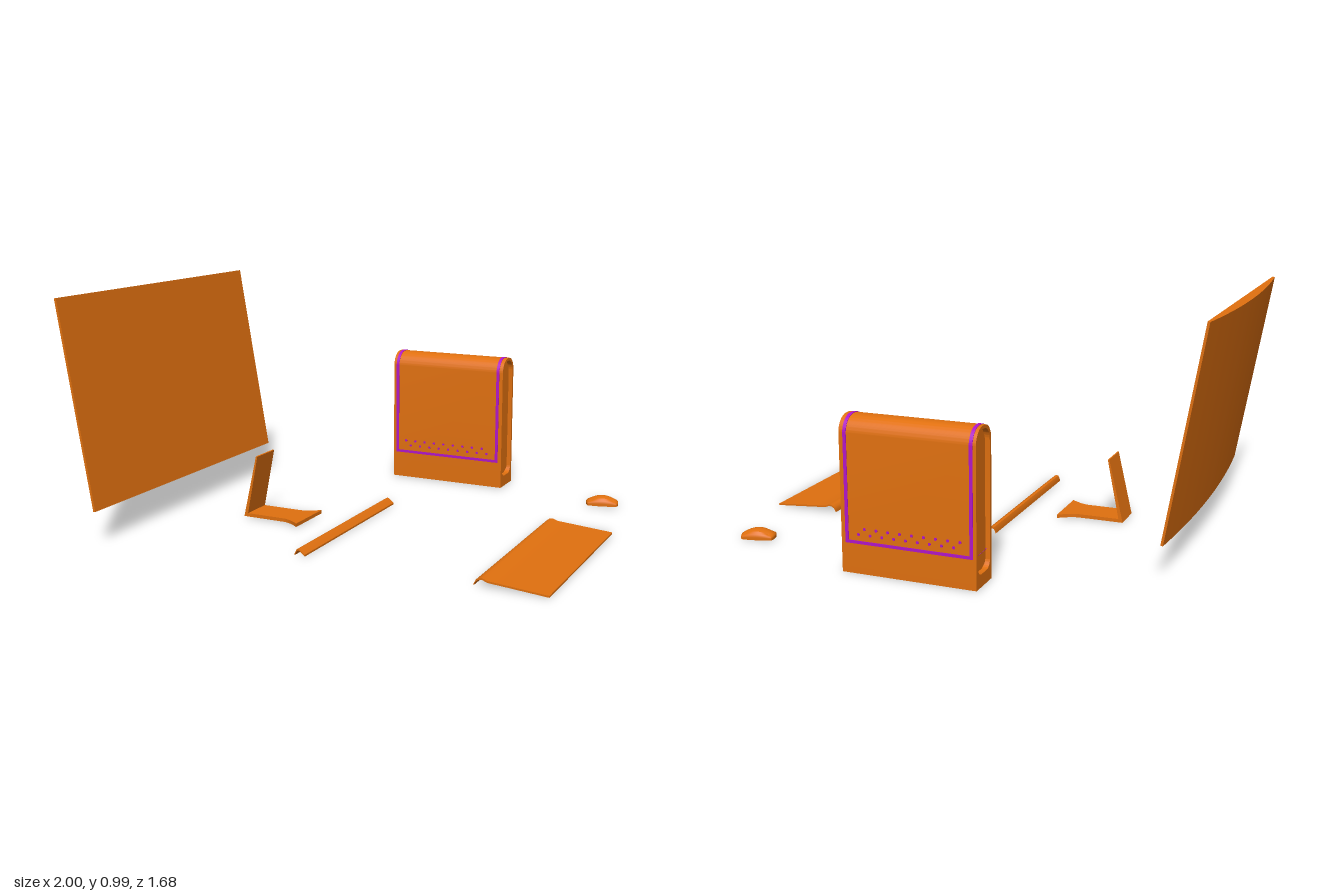
import * as THREE from 'three';
import { toCreasedNormals } from 'three/addons/utils/BufferGeometryUtils.js';

const orange = new THREE.MeshStandardMaterial({ color: 0xe0700f });
const purple = new THREE.MeshStandardMaterial({ color: 0xb015c8 });

function extrude(shape, depth) {
  const g = new THREE.ExtrudeGeometry(shape, { depth, bevelEnabled: false, curveSegments: 12 });
  return toCreasedNormals(g, 0.6);
}

function add(group, name, geometry, material = orange) {
  const mesh = new THREE.Mesh(geometry, material);
  mesh.name = name;
  group.add(mesh);
  return mesh;
}

// Upright outline with a rounded top; r2 rounds the bottom corners
function arch(Target, half, y0, y1, r, r2 = 0) {
  const s = new Target();
  s.moveTo(-half + r2, y0);
  s.lineTo(half - r2, y0);
  if (r2) s.absarc(half - r2, y0 + r2, r2, -Math.PI / 2, 0);
  s.lineTo(half, y1 - r);
  s.absarc(half - r, y1 - r, r, 0, Math.PI / 2);
  s.lineTo(-half + r, y1);
  s.absarc(-half + r, y1 - r, r, Math.PI / 2, Math.PI);
  s.lineTo(-half, y0 + r2);
  if (r2) s.absarc(-half + r2, y0 + r2, r2, Math.PI, Math.PI * 1.5);
  s.closePath();
  return s;
}

// Thin bent sheet: a line of points given a thickness, extruded along z
function sheet(points, t, length) {
  const top = points.map(([x, y]) => new THREE.Vector2(x, y));
  const under = points.map(([x, y]) => new THREE.Vector2(x, y - t)).reverse();
  return extrude(new THREE.Shape([...under.reverse(), ...top.reverse()]), length);
}

function createTower() {
  const tower = new THREE.Group();
  tower.name = 'computerTower';
  const x0 = -0.22, x1 = 0.335, zc = -0.771, half = 0.072, wall = 0.012;
  const alongX = (shape, from, to) => extrude(shape, to - from).rotateY(Math.PI / 2).translate(from, 0, zc);
  const opening = () => arch(THREE.Path, half - 0.014, 0.05, 0.597, 0.052, 0.035);

  // Shell, hollow under the foot, with a closed foot at each end
  const shell = new THREE.Shape();
  const w = half - wall;
  shell.moveTo(-half, 0).lineTo(-w, 0).lineTo(-w, 0.04).lineTo(w, 0.04).lineTo(w, 0).lineTo(half, 0);
  shell.lineTo(half, 0.545).absarc(half - 0.065, 0.545, 0.065, 0, Math.PI / 2);
  shell.lineTo(-half + 0.065, 0.61).absarc(-half + 0.065, 0.545, 0.065, Math.PI / 2, Math.PI);
  shell.closePath();
  shell.holes.push(opening());
  add(tower, 'shell', alongX(shell, x0 + wall, x1 - wall));
  for (const from of [x0, x1 - wall]) {
    const rim = arch(THREE.Shape, half, 0, 0.61, 0.065);
    rim.holes.push(opening());
    add(tower, 'endRim', alongX(rim, from, from + wall));
  }

  // Recessed end panels with a raised centre
  add(tower, 'innerBody', alongX(arch(THREE.Shape, half - 0.014, 0.05, 0.597, 0.052, 0.035), x0 + 0.022, x1 - 0.022));
  add(tower, 'endPanels', alongX(arch(THREE.Shape, half - 0.026, 0.064, 0.583, 0.042, 0.028), x0 + 0.014, x1 - 0.014));

  // Trim strips running up one face, over the top and down the other
  for (const x of [-0.2, 0.311]) {
    const strip = arch(THREE.Shape, half + 0.002, 0.12, 0.612, 0.067);
    strip.holes.push(arch(THREE.Path, half - 0.004, 0.121, 0.606, 0.061));
    add(tower, 'trimStrip', alongX(strip, x - 0.007, x + 0.007));
  }

  // Lower trim and two staggered rows of vents on both faces
  for (const side of [-1, 1]) {
    const z = zc + side * half;
    add(tower, 'lowerTrim', new THREE.BoxGeometry(0.511, 0.012, 0.004).translate(0.0555, 0.126, z));
    tower.children.at(-1).material = purple;
    for (let row = 0; row < 2; row++) {
      for (let i = 0; i < 9; i++) {
        const vent = new THREE.CylinderGeometry(0.006, 0.006, 0.004, 10).rotateX(Math.PI / 2);
        add(tower, 'vent', vent.translate(-0.155 + row * 0.025 + i * 0.049, 0.18 - row * 0.023, z), purple);
      }
    }
  }
  tower.children.forEach(m => { if (m.name === 'trimStrip') m.material = purple; });
  return tower;
}

function createMonitor() {
  const monitor = new THREE.Group();
  monitor.name = 'monitor';

  // Flat front, gently bowed back, leaning backwards
  const s = new THREE.Shape();
  s.moveTo(0, -0.84).lineTo(0, 0.5).lineTo(-0.01, 0.5);
  s.quadraticCurveTo(-0.066, -0.17, -0.01, -0.84).closePath();
  const panel = add(monitor, 'screenPanel', extrude(s, 0.862).rotateX(-Math.PI / 2));
  panel.position.set(-0.815, 0.141, 0);
  panel.rotation.z = 0.169;
  return monitor;
}

function createStand() {
  const stand = new THREE.Group();
  stand.name = 'monitorStand';

  // Foot plate flaring out at its free end
  const s = new THREE.Shape();
  s.moveTo(-0.495, -0.07).lineTo(-0.3, -0.07);
  s.quadraticCurveTo(-0.265, -0.075, -0.218, -0.112).lineTo(-0.218, 0.112);
  s.quadraticCurveTo(-0.265, 0.075, -0.3, 0.07).lineTo(-0.495, 0.07).closePath();
  add(stand, 'footPlate', extrude(s, 0.015).rotateX(-Math.PI / 2).translate(0, 0.003, 0.162));

  // Leaning upright
  const u = new THREE.Shape();
  u.moveTo(-0.5, 0.003).lineTo(-0.484, 0.003).lineTo(-0.429, 0.275).lineTo(-0.436, 0.276).closePath();
  add(stand, 'upright', extrude(u, 0.14).translate(0, 0, 0.092));
  return stand;
}

function createMouse() {
  // Box shaped into a low dome with bowed ends
  const g = new THREE.BoxGeometry(2, 1, 2, 14, 6, 10);
  const p = g.attributes.position;
  for (let i = 0; i < p.count; i++) {
    const x = p.getX(i), h = p.getY(i) + 0.5, z = p.getZ(i);
    const taper = 1 - 0.3 * Math.max(0, h - 0.45) ** 1.5 / 0.41;
    const height = 0.04 - 0.012 * x * x - 0.006 * z * z;
    p.setXYZ(i,
      0.071 * x * taper * (1 - 0.1 * z * z),
      0.003 + h * height,
      0.041 * z * taper * (1 - 0.16 * x * x));
  }
  g.computeVertexNormals();
  return g;
}

export function createModel() {
  const model = new THREE.Group();
  model.name = 'desktopComputerSet';
  model.add(createTower(), createMonitor(), createStand());

  // Keyboard: sloping sheet with a rolled rear edge
  const keys = [[0.712, 0.008], [0.72, 0.024], [0.731, 0.032], [0.745, 0.033], [0.765, 0.025], [0.82, 0.021], [1, 0.007]];
  add(model, 'keyboard', sheet(keys, 0.007, 0.83).translate(0, 0, -0.228));

  // Narrow folded bar
  const fold = [[-0.045, 0.007], [-0.036, 0.025], [-0.028, 0.028], [-0.018, 0.022], [0, 0.007]];
  add(model, 'foldedBar', sheet(fold, 0.007, 0.815).translate(0, 0, -0.226));

  const mouse = add(model, 'mouse', createMouse());
  mouse.position.set(0.843, 0, -0.635);
  mouse.rotation.y = 0.25;
  return model;
}
